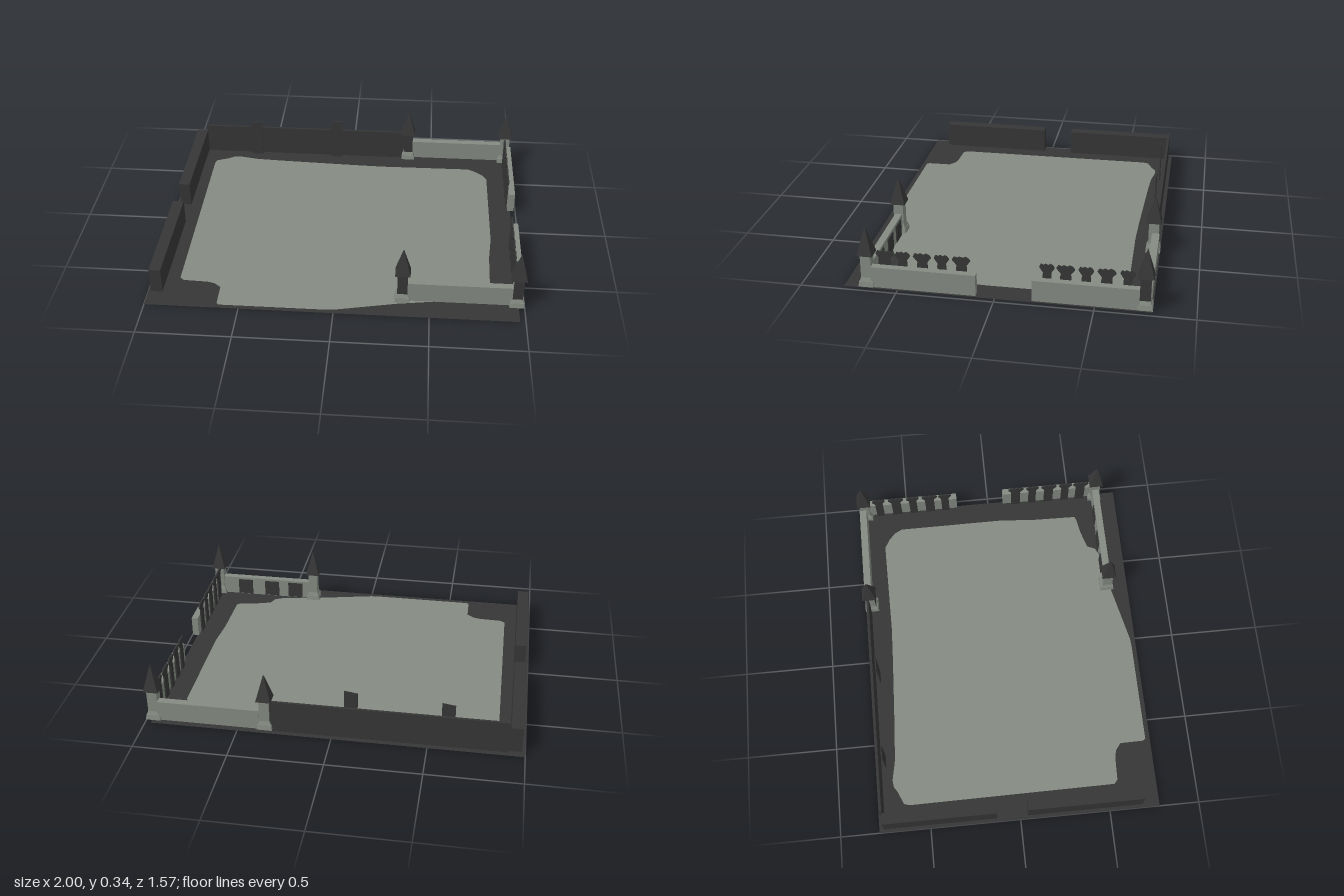
import * as THREE from 'three';

export function createModel() {
  const root = new THREE.Group();
  root.name = 'walledCourtyard';
  const paleStone = new THREE.MeshStandardMaterial({ color: 0x848b82, side: THREE.DoubleSide });
  const darkStone = new THREE.MeshStandardMaterial({ color: 0x363636, side: THREE.DoubleSide });
  paleStone.name = 'paleStone';
  darkStone.name = 'darkStone';

  function add(parent, name, geometry, material, x = 0, y = 0, z = 0) {
    const mesh = new THREE.Mesh(geometry, material);
    mesh.name = name;
    mesh.position.set(x, y, z);
    parent.add(mesh);
    return mesh;
  }
  // Box given by its limits on each axis
  function block(name, material, [x0, x1], [y0, y1], [z0, z1]) {
    return add(root, name, new THREE.BoxGeometry(x1 - x0, y1 - y0, z1 - z0), material,
      (x0 + x1) / 2, (y0 + y1) / 2, (z0 + z1) / 2);
  }
  // Square tapered block
  function frustum(top, bottom, height) {
    const g = new THREE.CylinderGeometry(top / Math.SQRT2, bottom / Math.SQRT2, height, 4).toNonIndexed();
    g.rotateY(Math.PI / 4);
    g.computeVertexNormals();
    return g;
  }

  // Ground: dark border around an irregular pale yard, both flat sheets
  const outline = [
    [-0.86, -0.61], [-0.85, -0.64], [-0.78, -0.67], [-0.75, -0.69], [-0.71, -0.695], [-0.6, -0.675],
    [-0.42, -0.665], [0, -0.648], [0.2, -0.642], [0.73, -0.648], [0.78, -0.62], [0.82, -0.585],
    [0.843, -0.54], [0.845, 0.08], [0.83, 0.25], [0.825, 0.52], [0.81, 0.53], [0.72, 0.545],
    [0.62, 0.575], [0.6, 0.62], [0.55, 0.645], [0.33, 0.68], [0, 0.752], [-0.05, 0.755],
    [-0.61, 0.755], [-0.62, 0.74], [-0.622, 0.61], [-0.66, 0.58], [-0.7, 0.57], [-0.83, 0.565],
    [-0.852, 0.545],
  ].map(([x, z]) => new THREE.Vector2(x, -z));
  const border = new THREE.Shape([[-1, -0.78], [0.97, -0.78], [0.97, 0.785], [-1, 0.785]]
    .map(([x, y]) => new THREE.Vector2(x, y)));
  border.holes.push(new THREE.Path(outline));
  add(root, 'groundBorder', new THREE.ShapeGeometry(border).rotateX(-Math.PI / 2), darkStone);
  add(root, 'yard', new THREE.ShapeGeometry(new THREE.Shape(outline)).rotateX(-Math.PI / 2), paleStone);

  // Tall back wall with two slanted-top posts against it
  block('backWall', darkStone, [-0.92, 0.36], [0.005, 0.187], [-0.765, -0.752]);
  for (const [x, top] of [[-0.635, 0.237], [-0.132, 0.26]]) {
    const post = new THREE.Shape();
    post.moveTo(0, 0.01).lineTo(0.07, 0.01).lineTo(0.07, top + 0.01).lineTo(0, top);
    add(root, 'wallPost', new THREE.ExtrudeGeometry(post, { depth: 0.006, bevelEnabled: false }),
      darkStone, x, 0, -0.73);
  }

  // Two low walls on the right-hand side, with a gap between
  for (const z of [[-0.757, -0.13], [0.042, 0.683]]) {
    block('sideWall', darkStone, [-0.983, -0.92], [0.01, 0.153], z);
  }

  // Pale fences joining the towers
  block('frontFence', paleStone, [0.38, 0.93], [0.02, 0.132], [0.635, 0.673]);
  block('backFence', paleStone, [0.38, 0.93], [0.02, 0.132], [-0.778, -0.738]);
  for (const x of [0.47, 0.62, 0.79]) {
    block('fencePanel', darkStone, [x - 0.045, x + 0.045], [0.025, 0.12], [0.629, 0.634]);
  }
  for (const z of [[-0.72, -0.19], [0.092, 0.63]]) {
    block('leftFence', paleStone, [0.951, 0.988], [0.018, 0.132], z);
  }

  // Fan-topped pickets standing along the inside of the left fences
  const fan = new THREE.Shape([
    [-0.026, 0.015], [0.026, 0.015], [0.026, 0.15], [0.022, 0.162], [0.045, 0.192], [0.036, 0.208],
    [0.02, 0.203], [0.01, 0.21], [-0.006, 0.203], [-0.02, 0.211], [-0.036, 0.202], [-0.044, 0.188],
    [-0.024, 0.162], [-0.026, 0.15],
  ].map(([x, y]) => new THREE.Vector2(x, y)));
  const fanGeometry = new THREE.ExtrudeGeometry(fan, { depth: 0.008, bevelEnabled: false })
    .rotateY(-Math.PI / 2);
  [0.563, 0.47, 0.37, 0.27, 0.17, -0.26, -0.353, -0.454, -0.555, -0.658].forEach((z, i) => {
    const picket = add(root, 'fanPicket', fanGeometry, darkStone, 0.95, 0, z);
    picket.scale.z = i % 2 ? 0.86 : 1.04;
  });

  // Towers: stepped plinth, square shaft and pyramid spire
  function tower(x, z, darkFace) {
    const group = new THREE.Group();
    group.name = 'tower';
    group.position.set(x, 0, z);
    root.add(group);
    add(group, 'plinth', frustum(0.072, 0.08, 0.028), paleStone, 0, 0.034, 0);
    add(group, 'plinthCap', frustum(0.054, 0.068, 0.02), paleStone, 0, 0.058, 0);
    const faces = Array(6).fill(paleStone);
    faces[darkFace] = darkStone;
    add(group, 'shaft', new THREE.BoxGeometry(0.054, 0.13, 0.054), faces, 0, 0.13, 0);
    add(group, 'spire', frustum(0, 0.08, 0.15), darkStone, 0, 0.268, 0);
  }
  tower(0.356, 0.654, 4);
  tower(0.957, 0.654, 4);
  tower(0.353, -0.747, 4);
  tower(0.953, -0.747, 0);

  return root;
}
